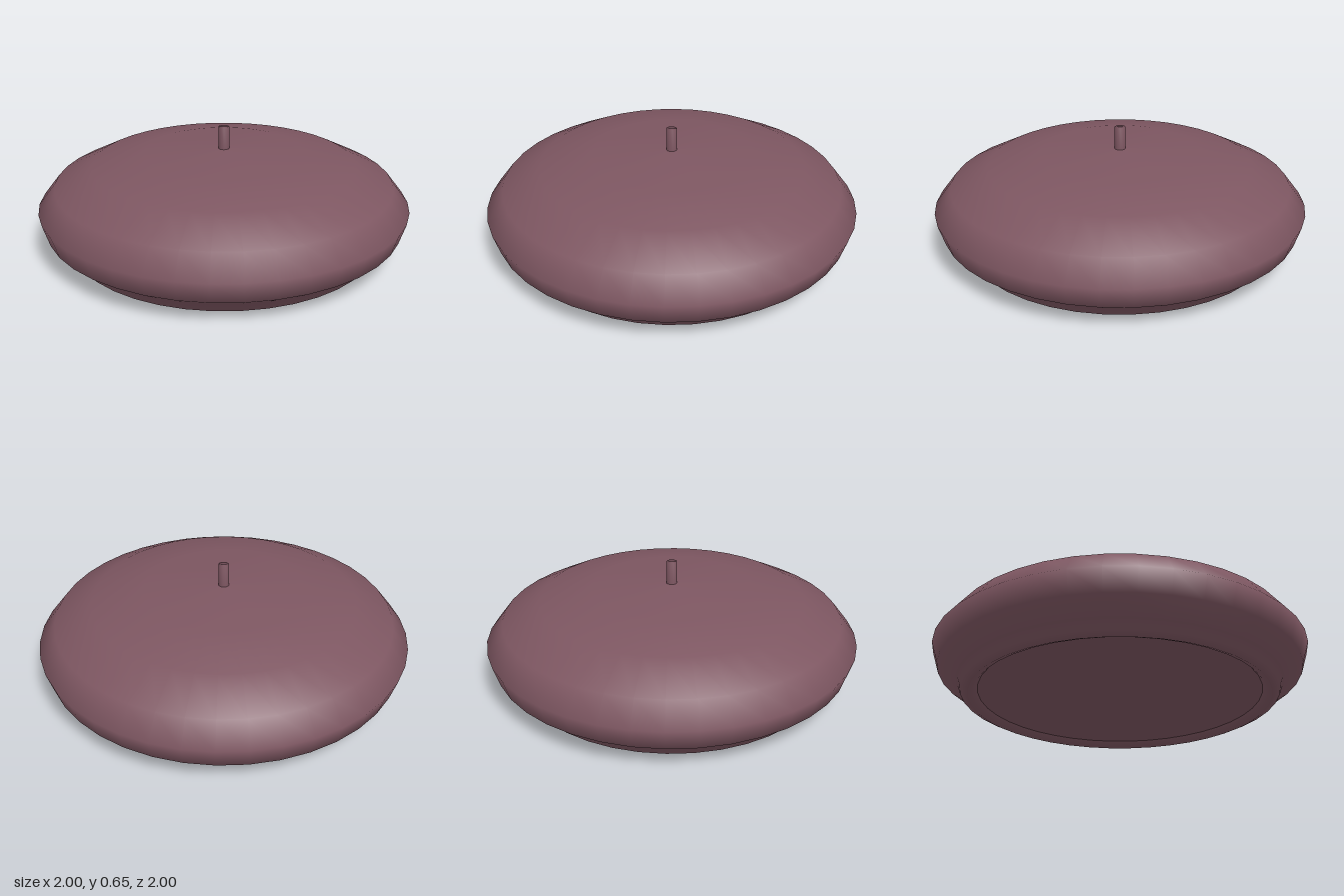
import * as THREE from 'three';

export function createModel() {
  const model = new THREE.Group();
  model.name = 'beret';
  const felt = new THREE.MeshStandardMaterial({ color: 0x7d5661, side: THREE.DoubleSide });

  // Each part is a profile of [radius, height] turned about the y axis
  const turn = (name, profile, segments) => {
    const points = profile.map(([r, y]) => new THREE.Vector2(r, y));
    const mesh = new THREE.Mesh(new THREE.LatheGeometry(points, segments), felt);
    mesh.name = name;
    model.add(mesh);
  };

  // Rolled head band running smoothly into the puffed crown
  turn('bandAndCrown', [
    [0.75, 0.03], [0.765, 0.015], [0.8, 0], [0.84, 0.019], [0.857, 0.065],
    [0.965, 0.133], [1, 0.245], [0.91, 0.36], [0.71, 0.46], [0.43, 0.517], [0, 0.535],
  ], 40);

  // Shallow underside inside the band
  turn('underside', [[0, 0.062], [0.75, 0.03]], 40);

  // Short stalk on top
  turn('stalk', [[0.029, 0.53], [0.029, 0.655], [0, 0.655]], 12);

  return model;
}
